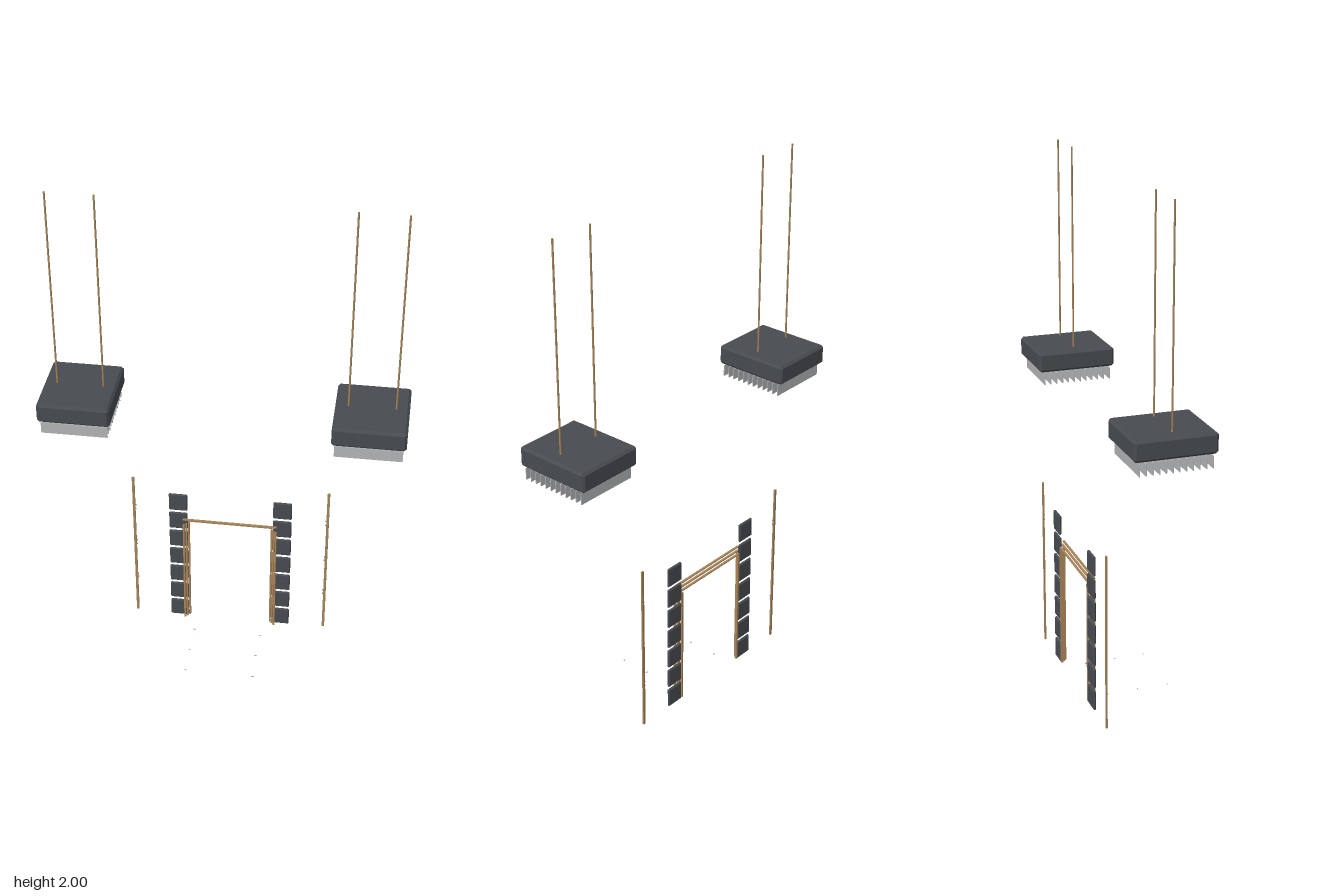
import * as THREE from 'three';
import { ConvexGeometry } from 'three/addons/geometries/ConvexGeometry.js';

const mat = (name, color) => new THREE.MeshStandardMaterial({ name, color });

// Box with a single flat chamfer on every edge
function chamferBox(w, h, d, r) {
  const points = [];
  for (const x of [-1, 1]) for (const y of [-1, 1]) for (const z of [-1, 1]) {
    const [a, b, c] = [w / 2, h / 2, d / 2];
    points.push(
      new THREE.Vector3(x * a, y * (b - r), z * (c - r)),
      new THREE.Vector3(x * (a - r), y * b, z * (c - r)),
      new THREE.Vector3(x * (a - r), y * (b - r), z * c),
    );
  }
  return new ConvexGeometry(points);
}

export function createModel() {
  const model = new THREE.Group();
  model.name = 'doorwayFittings';
  const slate = mat('slate', 0x474b50);
  const bronze = mat('bronze', 0xa98459);
  const grey = mat('louvreGrey', 0xb2b4b6);

  const add = (parent, name, geometry, material, x, y, z) => {
    const mesh = new THREE.Mesh(geometry, material);
    mesh.name = name;
    mesh.position.set(x, y, z);
    parent.add(mesh);
  };
  const box = (parent, name, w, h, d, material, x, y, z) =>
    add(parent, name, new THREE.BoxGeometry(w, h, d), material, x, y, z);

  const lampGeo = chamferBox(0.27, 0.077, 0.304, 0.009);
  const tileGeo = chamferBox(0.074, 0.079, 0.011, 0.004);
  const rodGeo = new THREE.CylinderGeometry(0.0035, 0.0035, 0.782, 8);

  for (const s of [-1, 1]) {
    const side = s > 0 ? 'left' : 'right';

    // Hanging lamp: housing, louvres and two suspension rods
    const lamp = new THREE.Group();
    lamp.name = side + 'Lamp';
    lamp.position.set(s * 0.538, 0, -0.014);
    model.add(lamp);
    add(lamp, 'housing', lampGeo, slate, 0, 1.176, 0);
    for (let i = 0; i < 12; i++) {
      box(lamp, 'louvre', 0.248, 0.045, 0.003, grey, 0, 1.107, 0.136 - i * 0.024);
    }
    for (const x of [-0.0865, 0.0865]) add(lamp, 'rod', rodGeo, bronze, x, 1.609, 0);

    // Column of tiles beside the doorway
    const tiles = new THREE.Group();
    tiles.name = side + 'Tiles';
    model.add(tiles);
    for (let i = 0; i < 7; i++) {
      add(tiles, 'tile', tileGeo, slate, s * 0.208, 0.0415 + i * 0.0913, -0.1625);
    }

    // Outer pole with small paired clips on its inner side
    box(model, side + 'Pole', 0.01, 0.686, 0.006, bronze, s * 0.387, 0.348, -0.166);
    for (const y of [0.19, 0.365, 0.545]) {
      for (const dy of [-0.009, 0.009]) {
        box(model, side + 'Clip', 0.005, 0.004, 0.004, bronze, s * 0.3805, y + dy, -0.165);
      }
    }

    // Floor markers
    for (const z of [-0.075, 0.047, 0.168]) {
      box(model, 'floorMarker', 0.01, 0.001, 0.003, bronze, s * 0.135, 0.0005, z);
    }
  }

  // Door frame: three nested, stepped strips
  const frame = new THREE.Group();
  frame.name = 'doorFrame';
  model.add(frame);
  const steps = [
    { half: 0.188, top: 0.519, z: -0.1455 },
    { half: 0.179, top: 0.510, z: -0.1545 },
    { half: 0.170, top: 0.501, z: -0.1635 },
  ];
  for (const { half, top, z } of steps) {
    box(frame, 'lintelStrip', half * 2, 0.004, 0.009, bronze, 0, top - 0.002, z);
    for (const s of [-1, 1]) {
      box(frame, 'jambStrip', 0.007, 0.485, 0.009, bronze, s * (half - 0.0035), 0.2475, z);
    }
  }
  return model;
}
